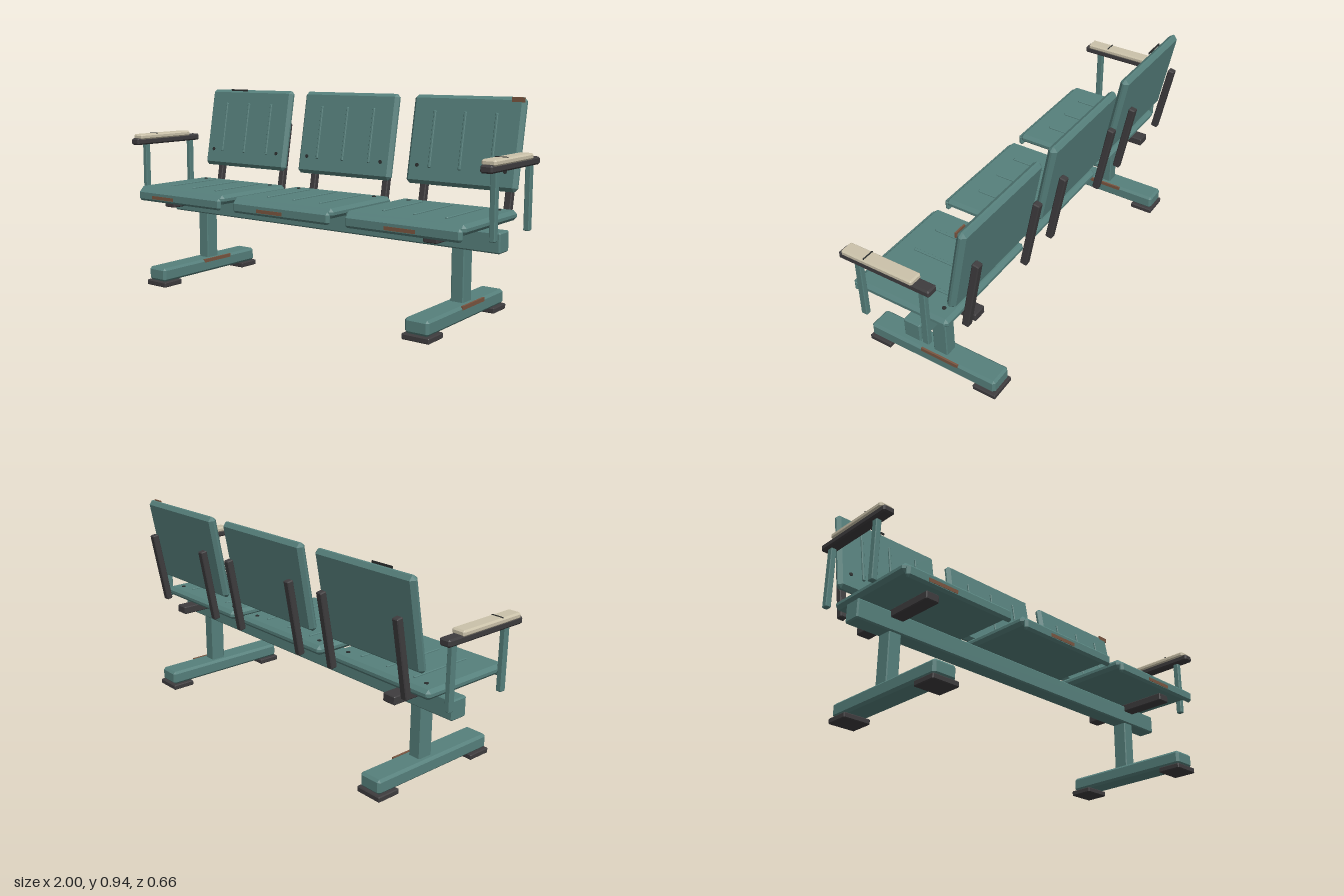
import * as THREE from 'three';
import { ConvexGeometry } from 'three/addons/geometries/ConvexGeometry.js';

function material(name, color) {
  const m = new THREE.MeshStandardMaterial({ color });
  m.name = name;
  return m;
}

// Box whose edges and corners are cut at 45 degrees
function chamferBox(w, h, d, c) {
  const points = [];
  for (const sx of [-1, 1]) for (const sy of [-1, 1]) for (const sz of [-1, 1]) {
    const x = w / 2, y = h / 2, z = d / 2;
    points.push(
      new THREE.Vector3(sx * x, sy * (y - c), sz * (z - c)),
      new THREE.Vector3(sx * (x - c), sy * y, sz * (z - c)),
      new THREE.Vector3(sx * (x - c), sy * (y - c), sz * z));
  }
  return new ConvexGeometry(points);
}

export function createModel() {
  const teal = material('teal paint', 0x56807c);
  const dark = material('dark metal', 0x3e3c3e);
  const cream = material('cream pad', 0xcbc2aa);
  const rust = material('rust', 0x7a5540);
  const black = material('fastener black', 0x2b2e2e);

  const model = new THREE.Group();
  model.name = 'bench';

  function add(parent, name, geometry, mat, x, y, z) {
    const mesh = new THREE.Mesh(geometry, mat);
    mesh.name = name;
    mesh.position.set(x, y, z);
    parent.add(mesh);
    return mesh;
  }
  const block = (parent, name, mat, w, h, d, c, x, y, z) =>
    add(parent, name, chamferBox(w, h, d, c), mat, x, y, z);
  const plate = (parent, name, mat, w, h, d, x, y, z) =>
    add(parent, name, new THREE.BoxGeometry(w, h, d), mat, x, y, z);

  function group(name, x, y, z) {
    const g = new THREE.Group();
    g.name = name;
    g.position.set(x, y, z);
    model.add(g);
    return g;
  }

  // Long beam
  block(model, 'beam', teal, 1.85, 0.088, 0.082, 0.006, 0, 0.361, -0.034);

  // Legs, feet and cross brackets
  for (const side of [-1, 1]) {
    const leg = group('leg', side * 0.733, 0, 0);
    block(leg, 'post', teal, 0.06, 0.27, 0.072, 0.004, 0, 0.21, -0.035);
    block(leg, 'foot', teal, 0.11, 0.065, 0.65, 0.011, 0, 0.0575, 0);
    block(leg, 'crossBracket', dark, 0.065, 0.037, 0.46, 0.004, 0, 0.394, 0);
    plate(leg, 'footRust', rust, 0.009, 0.017, 0.19, 0.0515, 0.082, -0.045);
    for (const end of [-1, 1])
      block(leg, 'footPad', dark, 0.127, 0.025, 0.113, 0.004, 0, 0.0125, end * 0.275);
  }

  // Three seats with backrests
  const lean = -0.184;
  const rustOffsets = [-0.1, -0.05, 0];
  for (let i = 0; i < 3; i++) {
    const x = (i - 1) * 0.625;
    const seat = group('seat', x, 0.449, 0.036);
    block(seat, 'seatPan', teal, 0.562, 0.043, 0.462, 0.015, 0, 0, 0);
    block(seat, 'seatLip', teal, 0.545, 0.054, 0.027, 0.011, 0, -0.02, 0.233);
    plate(seat, 'lipRust', rust, 0.145, 0.016, 0.004, rustOffsets[i], -0.025, 0.2465);

    const back = group('backrest', x, 0.737, -0.239);
    back.rotation.x = lean;
    block(back, 'backPanel', teal, 0.54, 0.4, 0.041, 0.016, 0, 0, 0);

    // Raised ribs
    for (const k of [-1, 0, 1]) {
      block(seat, 'seatRib', teal, 0.013, 0.012, 0.31, 0.003, k * 0.148, 0.022, -0.016);
      block(back, 'backRib', teal, 0.013, 0.255, 0.016, 0.003, k * 0.15, 0, 0.021);
    }

    // Bolts and rear struts
    for (const k of [-1, 1]) {
      add(seat, 'seatBolt', new THREE.CylinderGeometry(0.009, 0.009, 0.006, 8), black,
        k * 0.22, 0.022, -0.176);
      add(back, 'backBolt', new THREE.CylinderGeometry(0.009, 0.009, 0.006, 8), black,
        k * 0.214, -0.118, 0.021).rotation.x = Math.PI / 2;
      const strut = block(model, 'backStrut', dark, 0.032, 0.345, 0.031, 0.004,
        x + k * 0.21, 0.601, -0.271);
      strut.rotation.x = lean;
    }
  }

  // Wear marks along the backrest tops
  plate(model, 'cornerRust', rust, 0.058, 0.022, 0.006, 0.864, 0.923, -0.254);
  plate(model, 'topScuff', black, 0.108, 0.009, 0.005, -0.703, 0.933, -0.254);

  // Armrests at both ends
  for (const side of [-1, 1]) {
    const arm = group('armrest', side * 0.969, 0, 0);
    block(arm, 'armRail', dark, 0.052, 0.032, 0.43, 0.007, 0, 0.684, 0.02);
    block(arm, 'armPad', cream, 0.062, 0.026, 0.337, 0.007, 0, 0.707, 0.047);
    plate(arm, 'padSeam', black, 0.054, 0.004, 0.005, 0, 0.7205, 0.106);
    for (const z of [0.157, -0.148])
      block(arm, 'armPost', teal, 0.025, 0.272, 0.029, 0.003, 0, 0.534, z);
  }

  return model;
}
